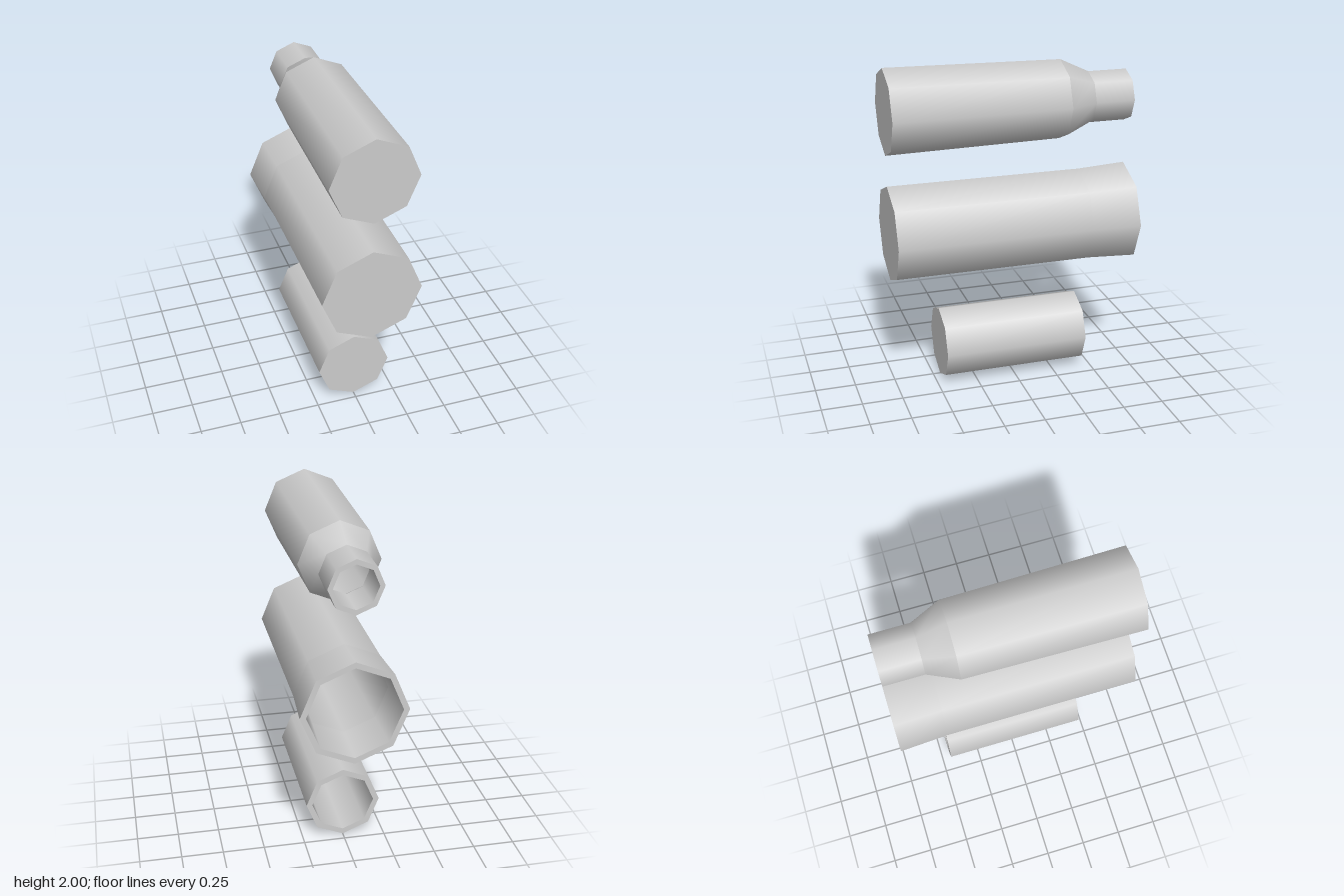
import * as THREE from 'three';
import { mergeGeometries } from 'three/addons/utils/BufferGeometryUtils.js';

const SIDES = 8;

// Turned shell along z: smooth around, sharp between the profile's segments.
// Profile points are [radius, z], from the closed front, over the rim, to the inner floor.
function shell(name, y, profile, material) {
  const bands = [];
  for (let i = 0; i < profile.length - 1; i++) {
    const points = [profile[i], profile[i + 1]].map(([r, z]) => new THREE.Vector2(r, -z));
    bands.push(new THREE.LatheGeometry(points, SIDES));
  }
  const geometry = mergeGeometries(bands);
  geometry.rotateX(-Math.PI / 2); // open end faces the back
  const mesh = new THREE.Mesh(geometry, material);
  mesh.name = name;
  mesh.position.y = y;
  return mesh;
}

export function createModel() {
  const group = new THREE.Group();
  group.name = 'casings';
  const grey = new THREE.MeshStandardMaterial({ color: 0xcccccc });

  // Tapered casing with a shoulder and narrow neck
  group.add(shell('neckedCasing', 1.738, [
    [0, 0.755], [0.262, 0.755], [0.245, -0.325], [0.16, -0.505], [0.16, -0.75],
    [0.13, -0.75], [0.13, -0.5], [0.215, -0.32], [0.23, 0.72], [0, 0.72],
  ], grey));

  // Wide casing with a flared mouth
  group.add(shell('flaredCasing', 0.984, [
    [0, 0.753], [0.301, 0.753], [0.301, -0.455], [0.318, -0.755],
    [0.282, -0.755], [0.267, -0.455], [0.267, 0.72], [0, 0.72],
  ], grey));

  // Short straight casing
  group.add(shell('straightCasing', 0.226, [
    [0, 0.455], [0.226, 0.455], [0.226, -0.447],
    [0.19, -0.447], [0.19, 0.42], [0, 0.42],
  ], grey));

  return group;
}
